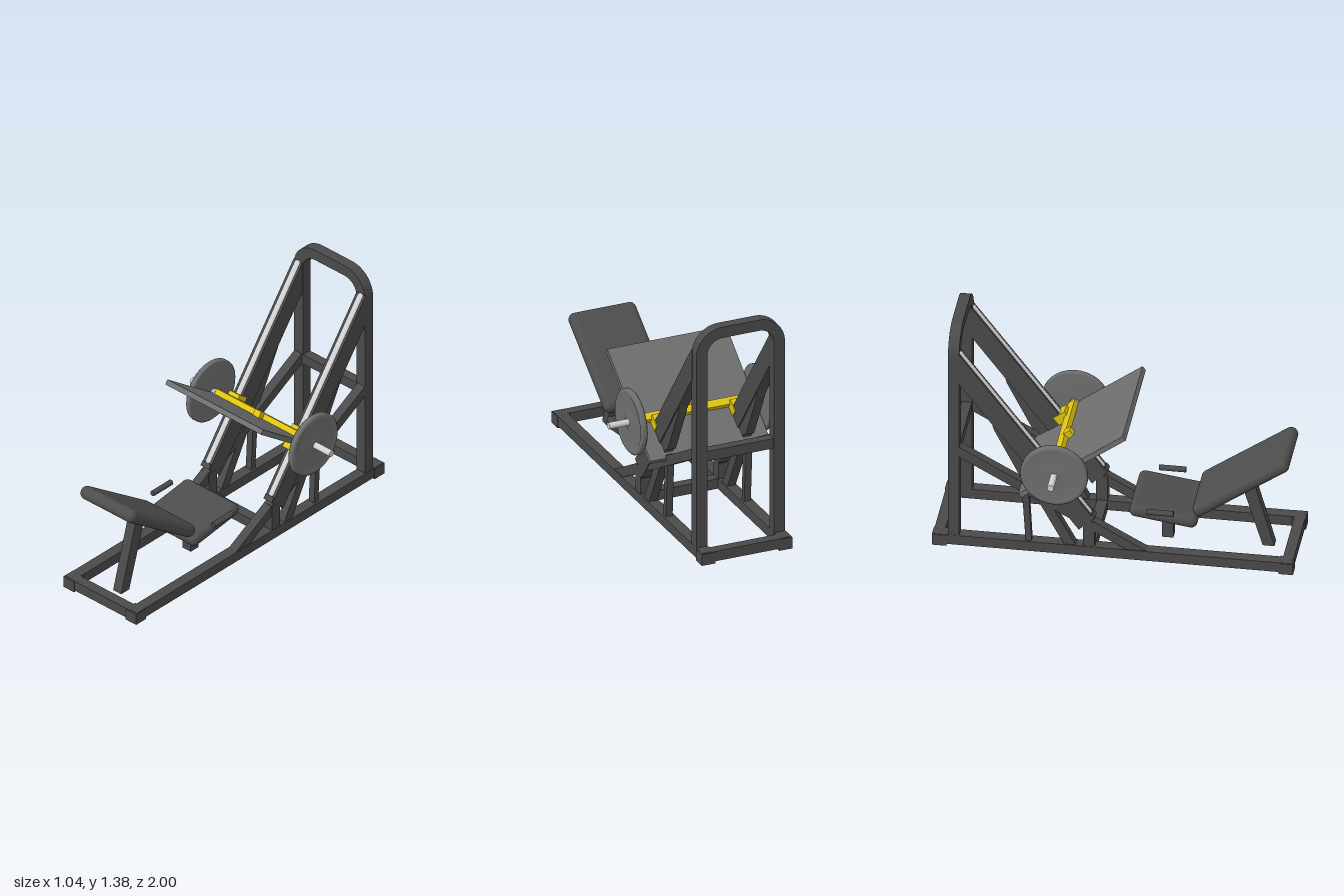
import * as THREE from 'three';
import { RoundedBoxGeometry } from 'three/addons/geometries/RoundedBoxGeometry.js';

const mat = (name, color) => Object.assign(new THREE.MeshStandardMaterial({ color }), { name });

export function createModel() {
  const frameMat = mat('frame charcoal', 0x4a4a4a);
  const padMat = mat('pad charcoal', 0x4d4d4d);
  const plateMat = mat('plate grey', 0x6e6e6e);
  const steelMat = mat('steel', 0xd2d2d2);
  const yellowMat = mat('carriage yellow', 0xe0c410);
  const model = new THREE.Group();
  model.name = 'legPressMachine';

  const add = (name, geo, material, pos = [0, 0, 0], tilt = 0, parent = model) => {
    const m = new THREE.Mesh(geo, material);
    m.name = name;
    m.position.set(...pos);
    m.rotation.x = tilt;
    parent.add(m);
    return m;
  };
  const box = (w, h, d) => new THREE.BoxGeometry(w, h, d);
  // Cylinder lying along x
  const rodX = (r, len) => new THREE.CylinderGeometry(r, r, len, 40).rotateZ(Math.PI / 2);
  // Side outline given as [z, y] points, extruded to a width in x
  const prism = (pts, width) => new THREE.ExtrudeGeometry(
    new THREE.Shape(pts.map(p => new THREE.Vector2(...p))), { depth: width, bevelEnabled: false }
  ).translate(0, 0, -width / 2).rotateY(-Math.PI / 2);

  const SLOPE = -0.641; // tilt of the guide rails from vertical
  const RAIL_X = 0.235;

  // Floor frame
  for (const [name, z] of [['frontCrossbar', 0.965], ['middleCrossbar', -0.13], ['rearCrossbar', -0.965]])
    add(name, box(0.44, 0.06, 0.06), frameMat, [0, 0.04, z]);
  for (const s of [-1, 1]) {
    add('floorRail', box(0.065, 0.06, 1.98), frameMat, [s * RAIL_X, 0.04, 0]);
    for (const z of [-0.96, 0.96])
      add('footCap', box(0.08, 0.068, 0.08), frameMat, [s * 0.232, 0.034, z]);
  }

  // Rear arch with rounded upper corners
  const archLine = (path, x, top, r) => {
    path.moveTo(-x, 0.05);
    path.lineTo(-x, top - r);
    path.absarc(-x + r, top - r, r, Math.PI, Math.PI / 2, true);
    path.lineTo(x - r, top);
    path.absarc(x - r, top - r, r, Math.PI / 2, 0, true);
    path.lineTo(x, 0.05);
    return path;
  };
  const inner = archLine(new THREE.Path(), 0.2, 1.313, 0.09).getPoints(12).reverse();
  const arch = archLine(new THREE.Shape(), 0.266, 1.378, 0.156);
  inner.forEach(p => arch.lineTo(p.x, p.y));
  add('rearArch', new THREE.ExtrudeGeometry(arch, { depth: 0.062, bevelEnabled: false, curveSegments: 12 }),
    frameMat, [0, 0, -0.912]);
  add('archCrossbar', box(0.42, 0.06, 0.055), frameMat, [0, 0.61, -0.88]);

  // Sloping rails and their braces on both sides
  const sideParts = [
    ['railBeam', 0.066, [[-0.11, 0.262], [-0.186, 0.175], [-0.86, 1.072], [-0.86, 1.24], [-0.85, 1.25]]],
    ['railPost', 0.06, [[-0.1, 0.05], [-0.165, 0.05], [-0.165, 0.23], [-0.1, 0.23]]],
    ['longBrace', 0.055, [[0.205, 0.06], [0.09, 0.06], [-0.86, 0.585], [-0.86, 0.65]]],
    ['steepBrace', 0.05, [[-0.2, 0.06], [-0.265, 0.06], [-0.51, 0.52], [-0.46, 0.54]]],
    ['rearStrut', 0.04, [[-0.45, 0.06], [-0.483, 0.06], [-0.507, 0.45], [-0.47, 0.45]]],
    ['railGusset', 0.05, [[-0.4, 0.47], [-0.515, 0.49], [-0.66, 0.78], [-0.68, 0.86]]],
  ];
  for (const s of [-1, 1]) {
    for (const [name, width, pts] of sideParts)
      add(name, prism(pts, width), frameMat, [s * RAIL_X, 0, 0]);
    // Rod let into the upper face of the beam
    add('guideRod', new THREE.CapsuleGeometry(0.024, 1.19, 6, 24), steelMat,
      [s * RAIL_X, 0.753, -0.498], SLOPE);
    add('railStop', box(0.062, 0.03, 0.06), frameMat, [s * RAIL_X, 0.25, -0.13], SLOPE);
    add('handle', new THREE.CylinderGeometry(0.016, 0.016, 0.15, 24).rotateX(Math.PI / 2),
      frameMat, [s * 0.226, 0.303, 0.257]);
  }

  // Seat, backrest and posts
  add('backrest', new RoundedBoxGeometry(0.4, 0.076, 0.635, 5, 0.036), padMat, [0, 0.473, 0.695], -0.618);
  add('seat', new RoundedBoxGeometry(0.4, 0.074, 0.38, 5, 0.035), padMat, [0, 0.25, 0.267], 0.14);
  add('backrestPost', prism([[0.86, 0.02], [0.795, 0.02], [0.672, 0.43], [0.735, 0.47]], 0.06), frameMat);
  add('seatPost', prism([[0.3, 0.02], [0.237, 0.02], [0.237, 0.24], [0.3, 0.23]], 0.06), frameMat);

  // Sliding carriage: local y runs up the rails, local z across them
  const carriage = new THREE.Group();
  carriage.name = 'carriage';
  carriage.position.set(0, 0.64, -0.21);
  carriage.rotation.x = SLOPE;
  model.add(carriage);
  const BAR = [0.021, -0.103];
  add('footPlate', box(0.715, 0.03, 0.72), plateMat, [0, 0, 0], 0, carriage);
  add('carriageBar', box(0.67, 0.07, 0.045), yellowMat, [0, 0.012, BAR[1]], 0, carriage);
  add('carriageTab', box(0.045, 0.045, 0.045), yellowMat, [0, 0.03, -0.066], 0, carriage);

  // Weight disc with a raised rim and hub
  const disc = [[0.001, -0.018], [0.178, -0.018], [0.187, -0.01], [0.187, 0.01], [0.178, 0.018],
    [0.16, 0.018], [0.15, 0.013], [0.055, 0.013], [0.045, 0.018], [0.001, 0.018]];
  const discGeo = new THREE.LatheGeometry(disc.map(p => new THREE.Vector2(...p)), 48);
  for (const s of [-1, 1]) {
    add('railSleeve', box(0.076, 0.14, 0.075), yellowMat, [s * RAIL_X, 0, -0.147], 0, carriage);
    add('barFlange', rodX(0.028, 0.012), steelMat, [s * 0.341, ...BAR], 0, carriage);
    add('weightBar', rodX(0.019, 0.185), steelMat, [s * 0.4275, ...BAR], 0, carriage);
    add('weightDisc', discGeo, plateMat, [s * 0.382, ...BAR], 0, carriage).rotation.z = -s * Math.PI / 2;
  }
  return model;
}
